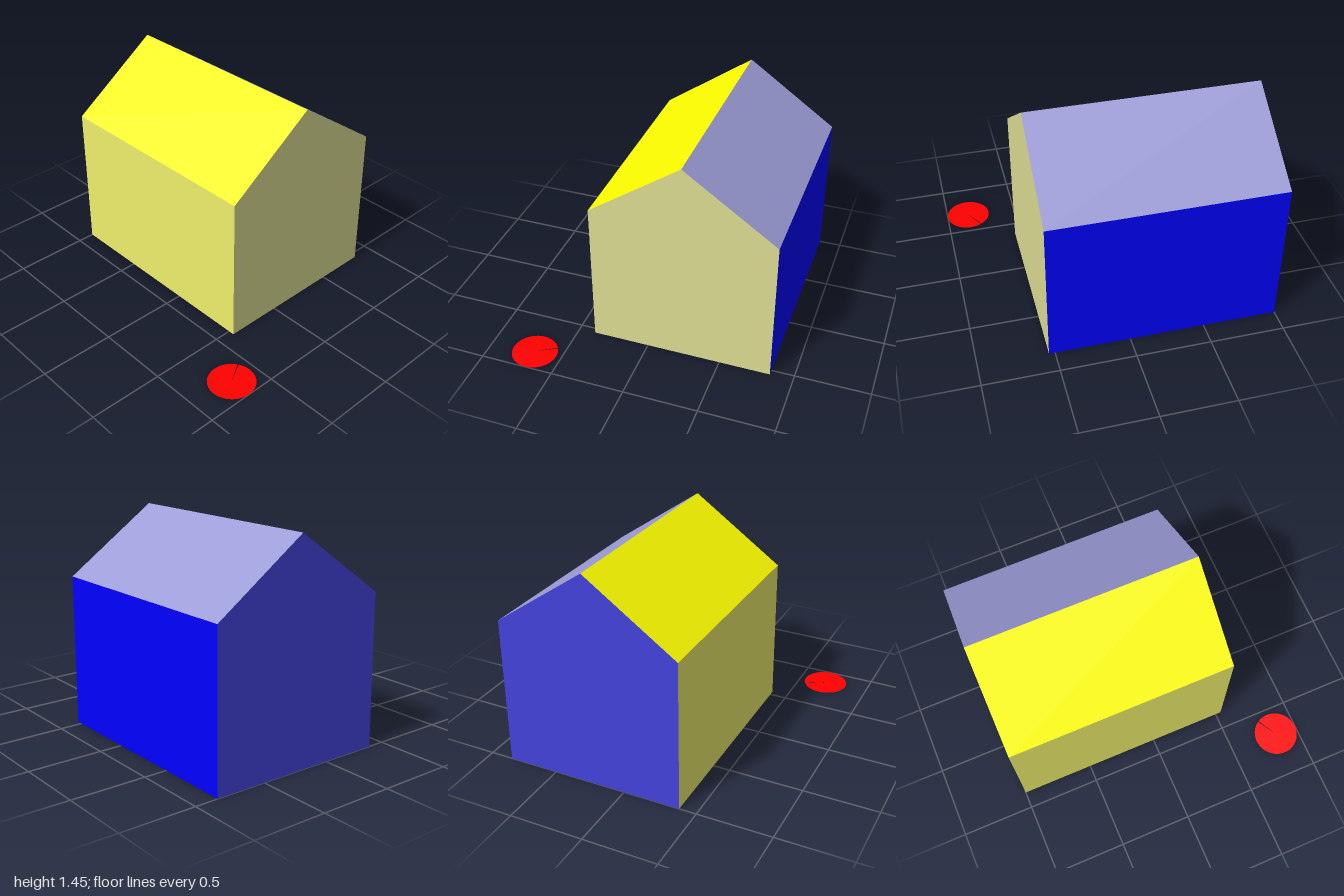
import * as THREE from 'three';

const HALF = 0.615;   // half the house width
const EAVE = 1.015;
const RIDGE = 1.445;
const DEPTH = 1.54;

function sheet(name, geometry, color) {
  const material = new THREE.MeshStandardMaterial({ color, side: THREE.DoubleSide, flatShading: true });
  const mesh = new THREE.Mesh(geometry, material);
  mesh.name = name;
  return mesh;
}

// Rectangle running the depth of the house, spanning two points of its outline
function panel([x0, y0], [x1, y1]) {
  const g = new THREE.PlaneGeometry(DEPTH, Math.hypot(x1 - x0, y1 - y0));
  g.rotateY(Math.PI / 2);
  g.rotateZ(Math.atan2(y1 - y0, x1 - x0) - Math.PI / 2);
  return g.translate((x0 + x1) / 2, (y0 + y1) / 2, 0);
}

export function createModel() {
  const model = new THREE.Group();

  // House: an open-bottomed shell, each side its own colour
  const house = new THREE.Group();
  house.name = 'house';
  house.position.set(0.23, 0, -0.23);
  const outline = [[HALF, 0], [HALF, EAVE], [0, RIDGE], [-HALF, EAVE], [-HALF, 0]];
  const sides = [
    ['leftWall', 0x0000ff],
    ['leftRoof', 0x9c9cd8],
    ['rightRoof', 0xffff00],
    ['rightWall', 0xf0f06c],
  ];
  sides.forEach(([name, color], i) => house.add(sheet(name, panel(outline[i], outline[i + 1]), color)));

  // Gable walls
  const gable = new THREE.ShapeGeometry(new THREE.Shape(outline.map(([x, y]) => new THREE.Vector2(x, y))));
  const front = sheet('frontWall', gable, 0xdede94);
  front.position.z = DEPTH / 2;
  const back = sheet('backWall', gable, 0x4242dc);
  back.position.z = -DEPTH / 2;
  back.rotation.y = Math.PI;
  house.add(front, back);
  model.add(house);

  // Flat disc on the ground with a hairline slit
  const slit = 0.04;
  const discGeometry = new THREE.CircleGeometry(0.154, 96, 0.54 + slit / 2, Math.PI * 2 - slit);
  const disc = sheet('groundDisc', discGeometry.rotateX(-Math.PI / 2), 0xff0000);
  disc.position.set(-0.692, 0, 0.845);
  model.add(disc);

  return model;
}
